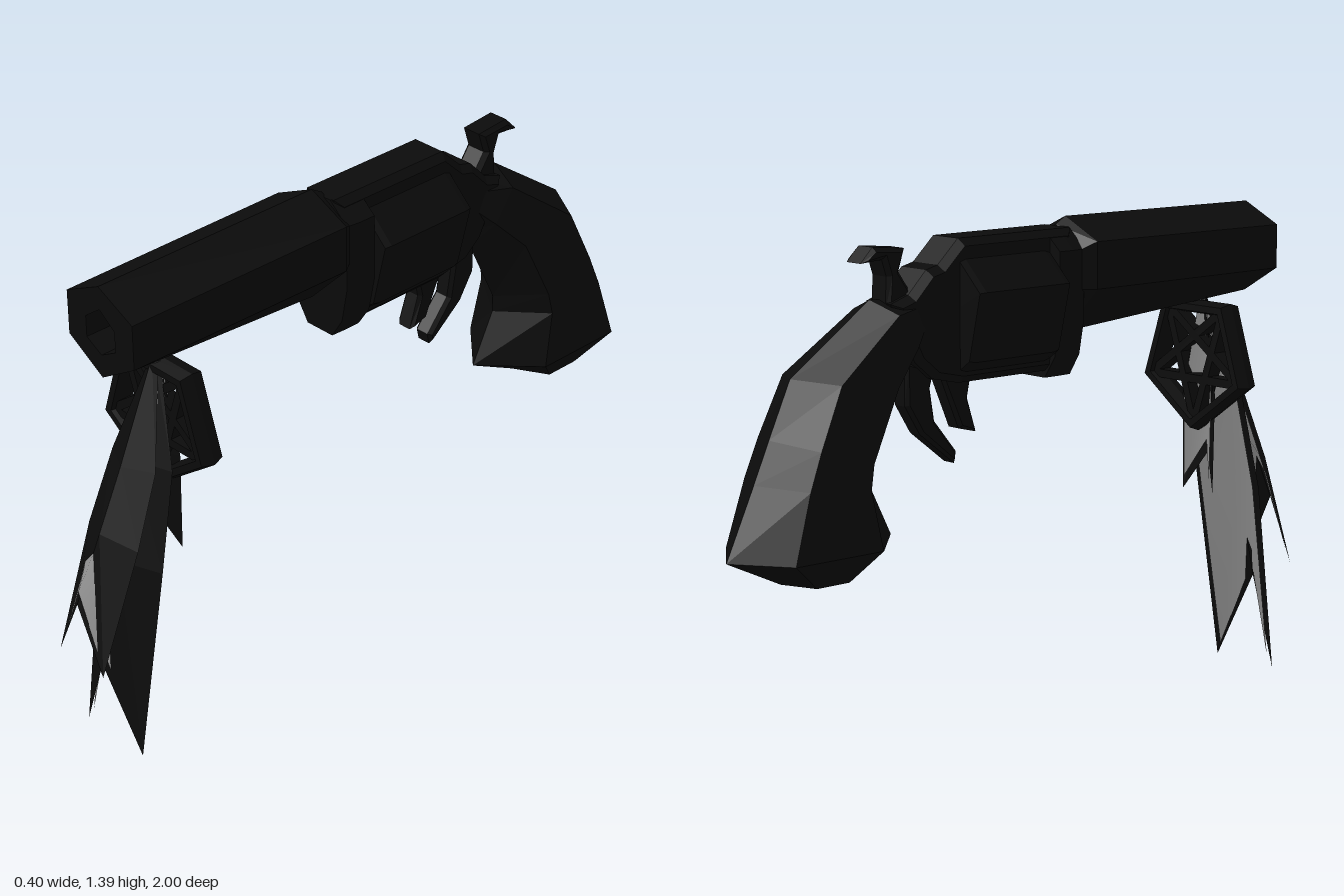
import * as THREE from 'three';

const dark = new THREE.MeshStandardMaterial({ color: 0x0b0b0b, flatShading: true, side: THREE.DoubleSide });
const lining = new THREE.MeshStandardMaterial({ color: 0x8c8c8c, side: THREE.DoubleSide });

function named(geometry, name, material = dark) {
  const mesh = new THREE.Mesh(geometry, material);
  mesh.name = name;
  return mesh;
}

// Skin over equal-length rings of [x, y, z], closed at both ends
function loft(rings) {
  const n = rings[0].length;
  const pos = [];
  const tri = (...p) => p.forEach((v) => pos.push(...v));
  const middle = (r) => [0, 1, 2].map((k) => r.reduce((s, p) => s + p[k], 0) / n);
  for (let j = 0; j < n; j++) {
    const k = (j + 1) % n;
    for (let i = 0; i < rings.length - 1; i++) {
      const a = rings[i], b = rings[i + 1];
      tri(a[j], a[k], b[k]);
      tri(a[j], b[k], b[j]);
    }
    const first = rings[0], last = rings[rings.length - 1];
    tri(first[k], first[j], middle(first));
    tri(last[j], last[k], middle(last));
  }
  const g = new THREE.BufferGeometry();
  g.setAttribute('position', new THREE.Float32BufferAttribute(pos, 3));
  g.computeVertexNormals();
  return g;
}

// Mirror a right-hand half section (bottom to top) into a full ring at depth z
function ringAt(half, z) {
  const left = half.filter(([x]) => x > 0).reverse().map(([x, y]) => [-x, y, z]);
  return [...half.map(([x, y]) => [x, y, z]), ...left];
}

// Flat plate cut from a side profile of [z, y] points
function plate(points, width, bevel = 0) {
  const shape = new THREE.Shape(points.map(([z, y]) => new THREE.Vector2(z, y)));
  const g = new THREE.ExtrudeGeometry(shape, {
    depth: width - 2 * bevel, bevelEnabled: bevel > 0, bevelSegments: 1,
    bevelSize: bevel, bevelThickness: bevel, bevelOffset: -bevel,
  });
  g.translate(0, 0, bevel - width / 2);
  return g.rotateY(-Math.PI / 2);
}

// Folded ribbon; rows are [y, z of crease, half width, y of edge, z of edge]
function ribbon(rows, inset = 0) {
  const pos = [], index = [];
  rows.forEach(([y, z, w, ey, ez], i) => {
    const s = 1 - inset, lift = i === rows.length - 1 ? inset * 0.25 : 0;
    const back = inset ? 0.006 : 0;
    pos.push(-w * s, ey + lift, ez - back, 0, y + lift, z - back, w * s, ey + lift, ez - back);
    if (i) {
      for (const c of [0, 1]) {
        const a = (i - 1) * 3 + c, b = i * 3 + c;
        index.push(a, b, b + 1, a, b + 1, a + 1);
      }
    }
  });
  const g = new THREE.BufferGeometry();
  g.setAttribute('position', new THREE.Float32BufferAttribute(pos, 3));
  g.setIndex(index);
  g.computeVertexNormals();
  return g;
}

export function createModel() {
  const model = new THREE.Group();

  // Six-sided barrel with a sunken bore
  const barrel = (low, w, z, top = 1.4) =>
    ringAt([[0, low], [w, 1.21], [w, top - 0.06], [0, top]], z);
  const bore = (z) => ringAt([[0, 1.2], [0.055, 1.23], [0.055, 1.29], [0, 1.33]], z);
  model.add(named(loft([
    barrel(1.12, 0.105, 0.125, 1.38), barrel(1.08, 0.13, 0.16), barrel(1.135, 0.125, 0.875, 1.395),
    bore(0.875), bore(0.6),
  ]), 'barrel'));

  // Frame: front yoke, backbone and rear shield
  const yoke = (s, z) => ringAt(
    [[0.05 * s, 0.97], [0.09 * s, 1.03], [0.11 * s, 1.13], [0.11 * s, 1.32], [0.045 * s, 1.375]], z);
  model.add(named(loft([yoke(1, 0.04), yoke(1, 0.09), yoke(0.95, 0.135)]), 'frontYoke'));
  model.add(named(plate([
    [0.13, 1.375], [-0.27, 1.375], [-0.34, 1.31], [-0.38, 1.3], [-0.44, 1.24], [-0.5, 1.22],
    [-0.42, 1.06], [-0.36, 1.01], [-0.27, 0.99], [0.05, 0.99], [0.13, 1.0],
  ], 0.14, 0.02), 'frame'));

  // Faceted cylinder
  const drum = (s, z) => ringAt([[0.04, 1], [0.11, 1.05], [0.155, 1.24], [0.055, 1.335]]
    .map(([x, y]) => [x * s, 1.18 + (y - 1.18) * s]), z);
  model.add(named(loft([drum(0.97, -0.28), drum(1, -0.26), drum(1, 0.02), drum(0.97, 0.04)]), 'cylinder'));

  // Hammer, trigger and front spur
  model.add(named(plate([
    [-0.41, 1.22], [-0.42, 1.25], [-0.455, 1.3], [-0.435, 1.36], [-0.54, 1.37], [-0.58, 1.33],
    [-0.51, 1.335], [-0.495, 1.29], [-0.5, 1.2],
  ], 0.08, 0.012), 'hammer'));
  model.add(named(plate([
    [-0.2, 1.01], [-0.215, 0.94], [-0.185, 0.845], [-0.245, 0.86], [-0.31, 1.01],
  ], 0.06, 0.01), 'trigger'));
  model.add(named(plate([
    [-0.33, 1.03], [-0.345, 0.98], [-0.33, 0.89], [-0.255, 0.8], [-0.262, 0.768], [-0.38, 0.86],
    [-0.43, 0.94], [-0.43, 1.06],
  ], 0.06, 0.01), 'rearSpur'));

  // Curved six-sided grip: [front z, front y, back z, back y, half width]
  const grip = [
    [-0.38, 1.13, -0.42, 1.225, 0.065],
    [-0.41, 1.06, -0.53, 1.23, 0.095],
    [-0.44, 1.0, -0.79, 1.05, 0.125],
    [-0.54, 0.8, -0.86, 0.9, 0.135],
    [-0.54, 0.75, -0.91, 0.79, 0.14],
    [-0.465, 0.6, -1, 0.6, 0.15],
    [-0.63, 0.52, -0.83, 0.52, 0.1],
  ].map(([fz, fy, bz, by, w]) => [[0, 1], [1, 0.8], [1, 0.27], [0, 0], [-1, 0.27], [-1, 0.8]]
    .map(([x, t]) => [x * w, fy + (by - fy) * t, fz + (bz - fz) * t]));
  model.add(named(loft(grip), 'grip'));

  // Hanging five-sided charm: outer ring with crossing struts
  const charm = new THREE.Group();
  charm.name = 'charm';
  charm.position.set(0, 0.95, 0.69);
  const rim = named(new THREE.TorusGeometry(0.187, 0.024, 6, 5), 'charmRim');
  rim.geometry.rotateZ(-Math.PI / 2).scale(1, 1, 1.7);
  charm.add(rim);
  const corner = (i) => new THREE.Vector2(0, -0.185).rotateAround(new THREE.Vector2(), i * Math.PI * 0.4);
  for (let i = 0; i < 5; i++) {
    const a = corner(i), b = corner(i + 2);
    const strut = named(new THREE.BoxGeometry(a.distanceTo(b), 0.024, 0.045), 'charmStrut');
    strut.position.set((a.x + b.x) / 2, (a.y + b.y) / 2, 0);
    strut.rotation.z = Math.atan2(b.y - a.y, b.x - a.x);
    charm.add(strut);
  }
  model.add(charm);

  // Fork-tailed ribbons gathered under the barrel
  const ribbons = {
    longRibbon: [
      [1.13, 0.71, 0.012, 1.13, 0.7], [0.85, 0.79, 0.11, 0.85, 0.755],
      [0.57, 0.86, 0.126, 0.57, 0.815], [0.27, 0.93, 0.113, 0.01, 0.9],
    ],
    frontRibbon: [
      [1.13, 0.715, 0.012, 1.13, 0.705], [0.85, 0.835, 0.085, 0.85, 0.79],
      [0.68, 0.915, 0.098, 0.65, 0.87], [0.5, 1, 0.088, 0.31, 0.998],
    ],
    shortRibbon: [
      [1.12, 0.705, 0.01, 1.12, 0.7], [0.85, 0.725, 0.065, 0.85, 0.69],
      [0.67, 0.73, 0.06, 0.56, 0.69],
    ],
  };
  for (const [name, rows] of Object.entries(ribbons)) {
    model.add(named(ribbon(rows), name));
    model.add(named(ribbon(rows, 0.15), name + 'Lining', lining));
  }
  return model;
}
